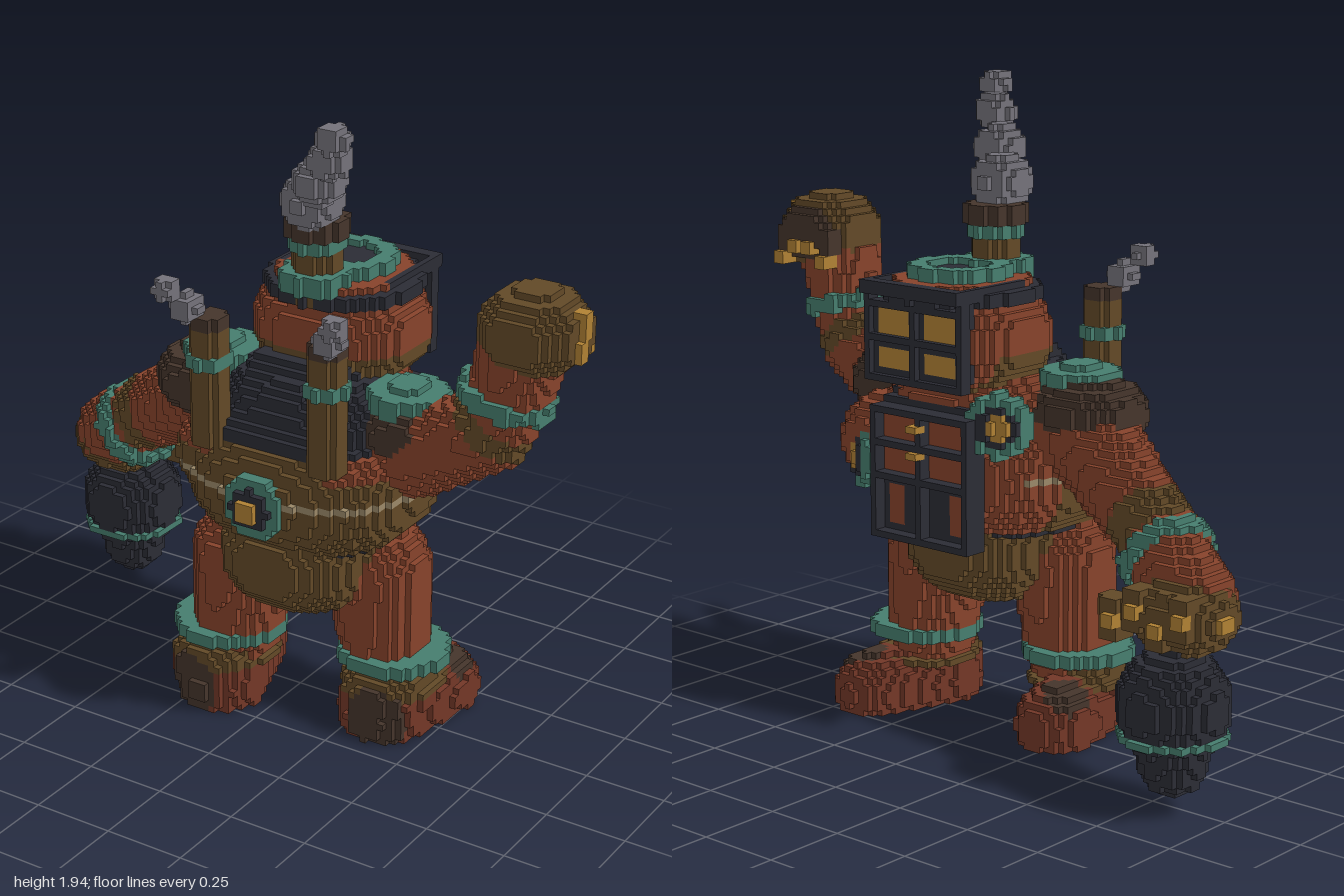
import * as THREE from 'three';

const S = 0.02, CX = 0.09; // cube size, body centre line
const COLORS = {
  rust: 0x87432b, bronze: 0x624927, darkBrown: 0x45352b, teal: 0x467d6e, iron: 0x2b2c35,
  smoke: 0x74727a, gold: 0xb08134, cream: 0x9a8868, darkRed: 0x733727,
};

// Shapes: an inside test plus a bounding centre and half-size
const ell = (c, r, p = 2) => ({
  c, h: r,
  test: (q) => q.reduce((s, v, i) => s + Math.abs((v - c[i]) / r[i]) ** p, 0) <= 1,
});
const ball = (c, r) => ell(c, [r, r, r]);
const box = (x0, x1, y0, y1, z0, z1) => ({
  c: [(x0 + x1) / 2, (y0 + y1) / 2, (z0 + z1) / 2],
  h: [(x1 - x0) / 2, (y1 - y0) / 2, (z1 - z0) / 2],
  test: ([x, y, z]) => x > x0 && x < x1 && y > y0 && y < y1 && z > z0 && z < z1,
});
// Tapered limb with round ends
const limb = (a, b, ra, rb = ra) => {
  const A = new THREE.Vector3(...a), D = new THREE.Vector3(...b).sub(A), P = new THREE.Vector3();
  const R = Math.max(ra, rb);
  return {
    c: a.map((v, i) => (v + b[i]) / 2), h: a.map((v, i) => Math.abs(v - b[i]) / 2 + R),
    test: (q) => {
      P.set(...q).sub(A);
      const t = THREE.MathUtils.clamp(P.dot(D) / D.lengthSq(), 0, 1);
      return P.addScaledVector(D, -t).length() <= ra + (rb - ra) * t;
    },
  };
};
// Disc or ring about any axis
const disc = (c, axis, r, half, inner = 0) => {
  const C = new THREE.Vector3(...c), N = new THREE.Vector3(...axis).normalize(), P = new THREE.Vector3();
  return {
    c, h: [r + half, r + half, r + half],
    test: (q) => {
      P.set(...q).sub(C);
      const t = P.dot(N), d = P.addScaledVector(N, -t).length();
      return Math.abs(t) <= half && d <= r && d >= inner;
    },
  };
};
const UP = [0, 1, 0];

export function createModel() {
  const cells = new Map();
  const key = (i, j, k) => i + 64 + j * 128 + (k + 64) * 16384;
  const each = (s, fn) => {
    const lo = s.c.map((v, i) => Math.floor((v - s.h[i]) / S)), hi = s.c.map((v, i) => Math.ceil((v + s.h[i]) / S));
    for (let i = Math.max(lo[0], -50); i <= Math.min(hi[0], 49); i++)
      for (let j = Math.max(lo[1], 0); j <= hi[1]; j++)
        for (let k = lo[2]; k <= hi[2]; k++)
          if (s.test([(i + 0.5) * S, (j + 0.5) * S, (k + 0.5) * S])) fn(key(i, j, k), i, j, k);
  };
  const add = (part, color, s) => each(s, (id, i, j, k) => cells.set(id, { part, color, p: [i, j, k] }));
  const paint = (part, color, s) => each(s, (id) => {
    const c = cells.get(id);
    if (c && c.part === part) c.color = color;
  });

  // Pelvis and legs, one leg a little ahead of the other, toes turned out
  add('pelvis', 'bronze', ell([CX, 0.56, 0.07], [0.25, 0.18, 0.28], 2.3));
  for (const s of [-1, 1]) {
    const x = (d) => CX + s * d, side = s < 0 ? 'right' : 'left', z = 0.075 - s * 0.055;
    const leg = side + 'Leg', foot = side + 'Foot';
    add(leg, 'rust', limb([x(0.2), 0.5, z], [x(0.23), 0.24, z], 0.155, 0.13));
    add(foot, 'darkRed', limb([x(0.26), 0.07, z + 0.05], [x(0.32), 0.06, z - 0.18], 0.135, 0.115));
    add(foot, 'darkRed', ell([x(0.27), 0.13, z + 0.04], [0.135, 0.11, 0.14], 2.3));
    paint(foot, 'bronze', box(x(0.27) - 0.2, x(0.27) + 0.2, 0.14, 0.3, z - 0.1, 0.4));
    paint(foot, 'darkBrown', ball([x(0.3), 0.08, z + 0.18], 0.1));
    paint(foot, 'darkBrown', ball([x(0.36), 0.15, z - 0.18], 0.07));
    add(foot, 'bronze', disc([x(0.26), 0.15, z], UP, 0.15, 0.012));
    add(leg + 'Ring', 'teal', disc([x(0.26), 0.24, z], UP, 0.165, 0.015));
  }

  // Torso with bronze belly, dark chest and thin belt
  add('torso', 'rust', ell([CX, 0.8, 0.06], [0.365, 0.22, 0.32], 2.4));
  add('torso', 'rust', ell([CX, 0.95, 0.02], [0.3, 0.21, 0.27], 2.3));
  add('torso', 'rust', ball([0.36, 0.86, -0.13], 0.14));
  add('torso', 'rust', ball([-0.16, 0.84, 0.18], 0.13));
  paint('torso', 'bronze', box(-0.4, 0.6, 0.55, 0.8, -0.06, 0.5));
  paint('torso', 'bronze', box(-0.4, 0.6, 0.8, 0.88, 0.12, 0.5));
  paint('torso', 'bronze', box(-0.1, 0.28, 0.86, 0.94, 0.08, 0.5));
  paint('torso', 'iron', box(-0.3, 0.48, 0.94, 1.2, 0.02, 0.5));
  paint('torso', 'iron', box(-0.4, 0.6, 0.6, 0.64, -0.4, 0.5));
  paint('torso', 'cream', box(-0.4, 0.6, 0.8, 0.82, -0.16, 0.5));
  // Sloping chest plate
  for (let i = 0; i < 11; i++) {
    const y = 0.94 + i * S;
    add('chestPlate', 'iron', box(-0.06, 0.24, y, y + S, 0, 0.33 - i * 0.016));
  }

  // Furnace door with iron frame and rusty panes
  add('furnace', 'iron', box(-0.1, 0.28, 0.6, 0.99, -0.27, -0.22));
  for (const x of [-0.08, 0.1]) paint('furnace', 'rust', box(x, x + 0.16, 0.8, 0.98, -0.28, -0.22));
  for (const x of [-0.06, 0.18]) paint('furnace', 'rust', box(x, x + 0.06, 0.64, 0.76, -0.28, -0.22));
  for (const x of [-0.1, 0.08, 0.26]) add('furnaceFrame', 'iron', box(x, x + 0.02, 0.6, 1.0, -0.3, -0.26));
  for (const y of [0.6, 0.78, 0.88, 0.98]) add('furnaceFrame', 'iron', box(-0.1, 0.28, y, y + 0.02, -0.3, -0.26));
  for (const y of [0.86, 0.94]) add('furnaceKnobs', 'gold', box(0.08, 0.12, y, y + 0.02, -0.32, -0.28));
  for (let i = 0; i < 11; i++) { // sloping furnace roof
    const z = -0.06 - i * S, y = 1.1 - i * 0.01;
    add('furnaceRoof', 'iron', box(-0.1, 0.28, y - 0.03, y, z - S, z));
  }

  // Round gauges on the belly, rear flank and upper back
  const gauge = (c, n) => {
    const at = (d) => c.map((v, i) => v + n[i] * d);
    add('gauge', 'teal', disc(c, n, 0.092, 0.035));
    add('gauge', 'iron', disc(at(0.01), n, 0.06, 0.035));
    add('gauge', 'gold', disc(at(0.02), n, 0.034, 0.035));
  };
  gauge([CX, 0.79, 0.375], [0, 0, 1]);
  gauge([0.365, 0.82, -0.21], [0.6, 0, -0.8]);
  gauge([-0.14, 0.98, -0.2], [-0.5, 0, -0.866]);

  // Head with bronze collar, roof rings and chimney
  add('head', 'rust', ell([CX, 1.21, -0.09], [0.255, 0.165, 0.215], 2.4));
  paint('head', 'bronze', box(-0.2, 0.4, 1.0, 1.18, -0.2, 0.2));
  add('roof', 'iron', disc([CX, 1.34, -0.1], UP, 0.23, 0.025));
  add('roof', 'rust', disc([CX, 1.37, -0.1], UP, 0.2, 0.005));
  add('roofRing', 'teal', disc([CX, 1.39, -0.11], UP, 0.145, 0.025, 0.1));
  add('roof', 'iron', disc([CX, 1.38, -0.11], UP, 0.1, 0.015));
  add('chimney', 'bronze', disc([CX, 1.45, 0.05], UP, 0.072, 0.12));
  add('chimney', 'teal', disc([CX, 1.39, 0.05], UP, 0.1, 0.025));
  add('chimney', 'teal', disc([CX, 1.5, 0.05], UP, 0.08, 0.015));
  add('chimney', 'darkBrown', disc([CX, 1.555, 0.05], UP, 0.085, 0.03));

  // Face window: gold panes in an iron grille, hung from roof bars
  add('facePanes', 'iron', box(-0.08, 0.26, 1.1, 1.32, -0.3, -0.24));
  for (const x of [-0.06, 0.12]) {
    add('facePanes', 'gold', box(x, x + 0.12, 1.22, 1.3, -0.31, -0.24));
    add('facePanes', 'gold', box(x, x + 0.12, 1.12, 1.18, -0.31, -0.24));
  }
  for (const x of [-0.1, 0.26]) {
    add('grille', 'iron', box(x, x + 0.02, 1.08, 1.36, -0.32, -0.28));
    add('roofBars', 'iron', box(x, x + 0.02, 1.34, 1.38, -0.32, -0.04));
  }
  add('grille', 'iron', box(0.08, 0.1, 1.08, 1.32, -0.32, -0.28));
  for (const y of [1.08, 1.19, 1.3]) add('grille', 'iron', box(-0.1, 0.28, y, y + 0.021, -0.32, -0.28));
  add('grille', 'iron', box(-0.1, 0.28, 1.34, 1.38, -0.34, -0.3));

  // Smoke from the chimney
  [[0.1, 1.64, 0.09, 0.085], [0.17, 1.73, 0.165, 0.072], [0.245, 1.825, 0.23, 0.058], [0.29, 1.905, 0.285, 0.045]]
    .forEach(([x, y, z, r]) => add('smoke', 'smoke', ball([x, y, z], r)));

  // Exhaust pipes and shoulder pads
  for (const s of [-1, 1]) {
    const x = (d) => CX + s * d;
    add('exhaustPipe', 'bronze', disc([x(0.2), 1.12, 0.31], UP, 0.047, 0.2));
    add('exhaustPipe', 'teal', disc([x(0.2), 1.18, 0.31], UP, 0.06, 0.015));
    add('exhaustPipe', 'darkBrown', disc([x(0.2), 1.3, 0.31], UP, 0.054, 0.025));
    add('exhaustSmoke', 'smoke', ball([x(0.24), 1.35, 0.36], 0.045));
    add('exhaustSmoke', 'smoke', ball([x(0.28), 1.41, 0.405], 0.036));
    add('shoulder', 'darkBrown', ell([x(0.36), 1.0, 0.05], [0.18, 0.11, 0.16]));
    add('shoulderPad', 'teal', disc([x(0.32), 1.09, 0.06], UP, 0.115, 0.022));
    add('shoulderPad', 'teal', disc([x(0.32), 1.12, 0.06], UP, 0.06, 0.02));
  }

  // Raised arm
  add('leftArm', 'rust', limb([0.44, 0.93, 0.07], [0.7, 1.08, 0.1], 0.125, 0.115));
  add('leftArm', 'rust', limb([0.74, 1.13, 0.11], [0.8, 1.34, 0.12], 0.105, 0.12));
  paint('leftArm', 'bronze', disc([0.72, 1.1, 0.1], [0.6, 0.8, 0], 0.15, 0.035));
  add('shoulder', 'darkBrown', ell([0.46, 1.0, 0.06], [0.14, 0.09, 0.13]));
  add('leftArmRing', 'teal', disc([0.755, 1.2, 0.115], [0.25, 1, 0], 0.135, 0.025));
  add('leftHand', 'bronze', ell([0.84, 1.42, 0.12], [0.15, 0.12, 0.15], 2.1));
  paint('leftHand', 'darkBrown', box(0.6, 1, 1.3, 1.5, -0.1, 0.03));
  for (let i = 0; i < 4; i++) {
    const x = 0.72 + i * 0.06, y = i % 3 ? 1.48 : 1.44;
    add('leftFingers', 'darkBrown', box(x, x + 0.04, 1.36, y, -0.03, 0.06));
    add('leftClaws', 'gold', box(x, x + 0.04, y - 0.12, y - 0.08, -0.04, 0.02));
  }
  add('leftClaws', 'gold', box(0.96, 1, 1.42, 1.5, 0.1, 0.14));
  add('leftClaws', 'gold', box(0.96, 1, 1.36, 1.42, 0.12, 0.16));

  // Lowered arm
  add('rightArm', 'rust', limb([-0.26, 0.95, 0.03], [-0.6, 0.76, -0.09], 0.135, 0.115));
  add('rightArm', 'rust', limb([-0.64, 0.73, -0.1], [-0.84, 0.59, -0.2], 0.11, 0.12));
  paint('rightArm', 'bronze', disc([-0.62, 0.75, -0.09], [-0.8, -0.55, -0.25], 0.15, 0.05));
  add('shoulder', 'darkBrown', ell([-0.29, 1.01, 0.03], [0.16, 0.09, 0.15]));
  add('rightArmRing', 'teal', disc([-0.69, 0.68, -0.12], [-0.8, -0.6, -0.3], 0.135, 0.028));
  add('rightHand', 'bronze', ell([-0.84, 0.56, -0.23], [0.145, 0.11, 0.13], 2.1));
  for (let i = 0; i < 4; i++) {
    const x = -0.94 + i * 0.08, y = 0.58 - (i % 2) * 0.04;
    add('rightFingers', 'bronze', box(x, x + 0.05, y - 0.06, y + 0.06, -0.36, -0.28));
    add('rightClaws', 'gold', box(x, x + 0.04, y - 0.02, y + 0.02, -0.38, -0.34));
  }
  add('rightFingers', 'bronze', box(-0.72, -0.62, 0.54, 0.6, -0.34, -0.28));
  add('rightClaws', 'gold', box(-1, -0.94, 0.54, 0.58, -0.28, -0.22));

  // Hanging iron weight
  add('weight', 'iron', ball([-0.845, 0.32, -0.285], 0.155));
  add('weight', 'iron', limb([-0.845, 0.24, -0.285], [-0.845, 0.15, -0.285], 0.125, 0.09));
  add('weightBand', 'teal', disc([-0.845, 0.235, -0.285], UP, 0.15, 0.011));

  // Turn exposed cube faces into one mesh per part and colour
  const faces = new Map();
  for (const { part, color, p } of cells.values()) {
    const name = part + '|' + color;
    if (!faces.has(name)) faces.set(name, { pos: [], nor: [] });
    const { pos, nor } = faces.get(name);
    for (let d = 0; d < 3; d++) for (const s of [1, -1]) {
      const n = [0, 0, 0];
      n[d] = s;
      if (cells.has(key(p[0] + n[0], p[1] + n[1], p[2] + n[2]))) continue;
      const quad = [[0, 0], [1, 0], [1, 1], [0, 1]].map(([u, v]) => {
        const q = [...p];
        q[d] += s > 0 ? 1 : 0; q[(d + 1) % 3] += u; q[(d + 2) % 3] += v;
        return q.map((c) => c * S);
      });
      if (s < 0) quad.reverse();
      for (const i of [0, 1, 2, 0, 2, 3]) { pos.push(...quad[i]); nor.push(...n); }
    }
  }
  const mats = {};
  for (const c in COLORS) {
    mats[c] = new THREE.MeshStandardMaterial({ color: COLORS[c] });
    mats[c].name = c;
  }
  const model = new THREE.Group();
  model.name = 'steamRobot';
  for (const [name, { pos, nor }] of faces) {
    if (!pos.length) continue;
    const [part, color] = name.split('|'), geo = new THREE.BufferGeometry();
    geo.setAttribute('position', new THREE.Float32BufferAttribute(pos, 3));
    geo.setAttribute('normal', new THREE.Float32BufferAttribute(nor, 3));
    const mesh = new THREE.Mesh(geo, mats[color]);
    mesh.name = part;
    model.add(mesh);
  }
  return model;
}
